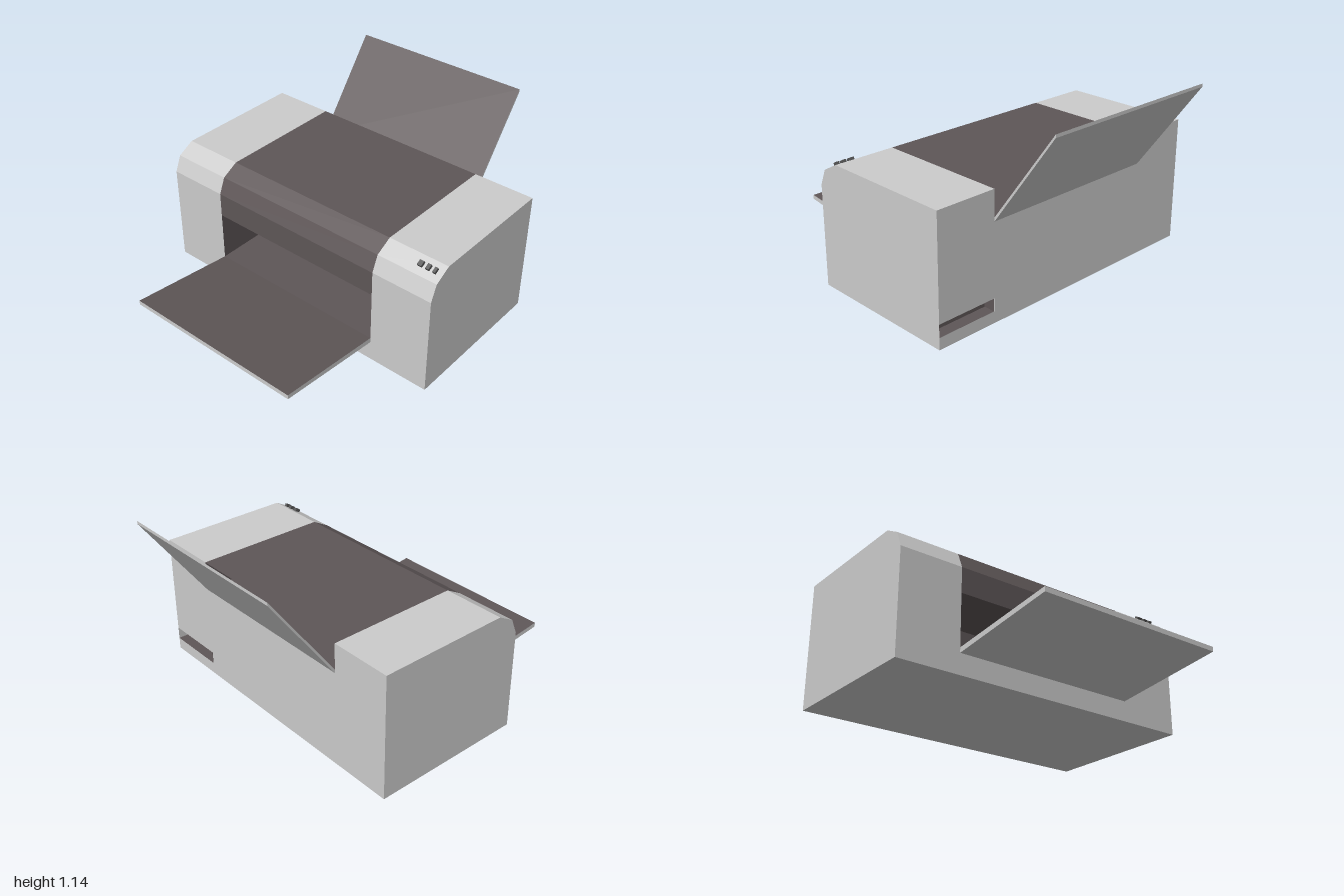
import * as THREE from 'three';

const GREY = 0xcccccc, BROWN = 0x5e5657, DARK = 0x555555;
const W = 0.94, M = 0.565; // half width of the body and of its middle section

function part(name, geometry, color) {
  const material = new THREE.MeshStandardMaterial({ color, flatShading: true, side: THREE.DoubleSide });
  const mesh = new THREE.Mesh(geometry, material);
  mesh.name = name;
  return mesh;
}

// Sheet swept along x from x0 to x1, following [z, y] points
function sheet(name, pts, x0, x1, color) {
  const v = [];
  for (let i = 0; i < pts.length - 1; i++) {
    const [za, ya] = pts[i], [zb, yb] = pts[i + 1];
    v.push(x0, ya, za, x1, ya, za, x1, yb, zb, x0, ya, za, x1, yb, zb, x0, yb, zb);
  }
  const g = new THREE.BufferGeometry();
  g.setAttribute('position', new THREE.Float32BufferAttribute(v, 3));
  g.computeVertexNormals();
  return part(name, g, color);
}

// Flat wall at a given x, outlined by [z, y] points
function wall(name, pts, x, color) {
  const g = new THREE.ShapeGeometry(new THREE.Shape(pts.map(([z, y]) => new THREE.Vector2(z, y))));
  g.rotateY(x > 0 ? -Math.PI / 2 : -Math.PI / 2).translate(x, 0, 0);
  return part(name, g, color);
}

// Two-tone paper tray: corners are inner top, outer top, outer bottom, inner bottom
function tray(name, c) {
  const group = new THREE.Group();
  group.name = name;
  group.add(sheet(name + 'Surface', [c[0], c[1]], -M, M, BROWN));
  group.add(sheet(name + 'Underside', [c[1], c[2], c[3], c[0]], -M, M, GREY));
  for (const x of [-M, M]) group.add(wall(name + 'Edge', c, x, GREY));
  return group;
}

export function createModel() {
  const model = new THREE.Group();
  const front = 0.335, back = -0.605, top = 0.755;
  const crown = [[front, 0.605], [0.295, 0.70], [0.195, top], [back, top]];

  // Side housings, the left one with a socket recess in its rear face
  const outline = [[front, 0], ...crown, [back, 0]];
  const slotLow = 0.07, slotHigh = 0.145, slotIn = back + 0.07;
  for (const x of [-W, W]) model.add(wall('sidePanel', outline, x, GREY));
  model.add(sheet('rightHousing', [...outline, outline[0]], -W, -M, GREY));
  model.add(sheet('leftHousing', [[back, slotLow], [back, 0], [front, 0], ...crown, [back, slotHigh]], M, W, GREY));
  model.add(sheet('rearSocket',
    [[back, slotLow], [slotIn, slotLow], [slotIn, slotHigh], [back, slotHigh]], M, W, BROWN));
  model.add(wall('rearSocketEnd',
    [[back, slotLow], [slotIn, slotLow], [slotIn, slotHigh], [back, slotHigh]], M + 0.002, BROWN));

  // Middle section: dark cover, grey base and rear wall
  model.add(sheet('topCover', [[front, 0.455], ...crown], -M, M, BROWN));
  model.add(sheet('base', [[front, 0.15], [front, 0], [back, 0], [back, 0.585]], -M, M, GREY));

  // Paper output bay at the front and paper feed bay at the back
  const bays = {
    outputBay: [[front, 0.455], [-0.055, 0.455], [-0.055, 0.15], [front, 0.15]],
    feedBay: [[back, 0.585], [-0.3, 0.585], [-0.3, top], [back, top]],
  };
  for (const [name, pts] of Object.entries(bays)) {
    model.add(sheet(name, name === 'feedBay' ? pts.slice(0, 3) : pts, -M, M, BROWN));
    for (const x of [-M, M]) model.add(wall(name + 'Side', pts, x, BROWN));
  }

  // Trays
  model.add(tray('outputTray', [[front, 0.15], [1, 0.225], [1, 0.198], [front, 0.12]]));
  model.add(tray('feedTray', [[back, 0.60], [-1, 1.14], [-1, 1.122], [back, 0.578]]));

  // Control buttons on the sloping front edge
  const slope = Math.atan2(0.055, 0.1);
  for (const [x, w] of [[0.805, 0.027], [0.853, 0.021], [0.895, 0.017]]) {
    const button = part('button', new THREE.BoxGeometry(w, 0.024, 0.032), DARK);
    button.position.set(x, 0.734, 0.245);
    button.rotation.x = slope;
    model.add(button);
  }
  return model;
}
